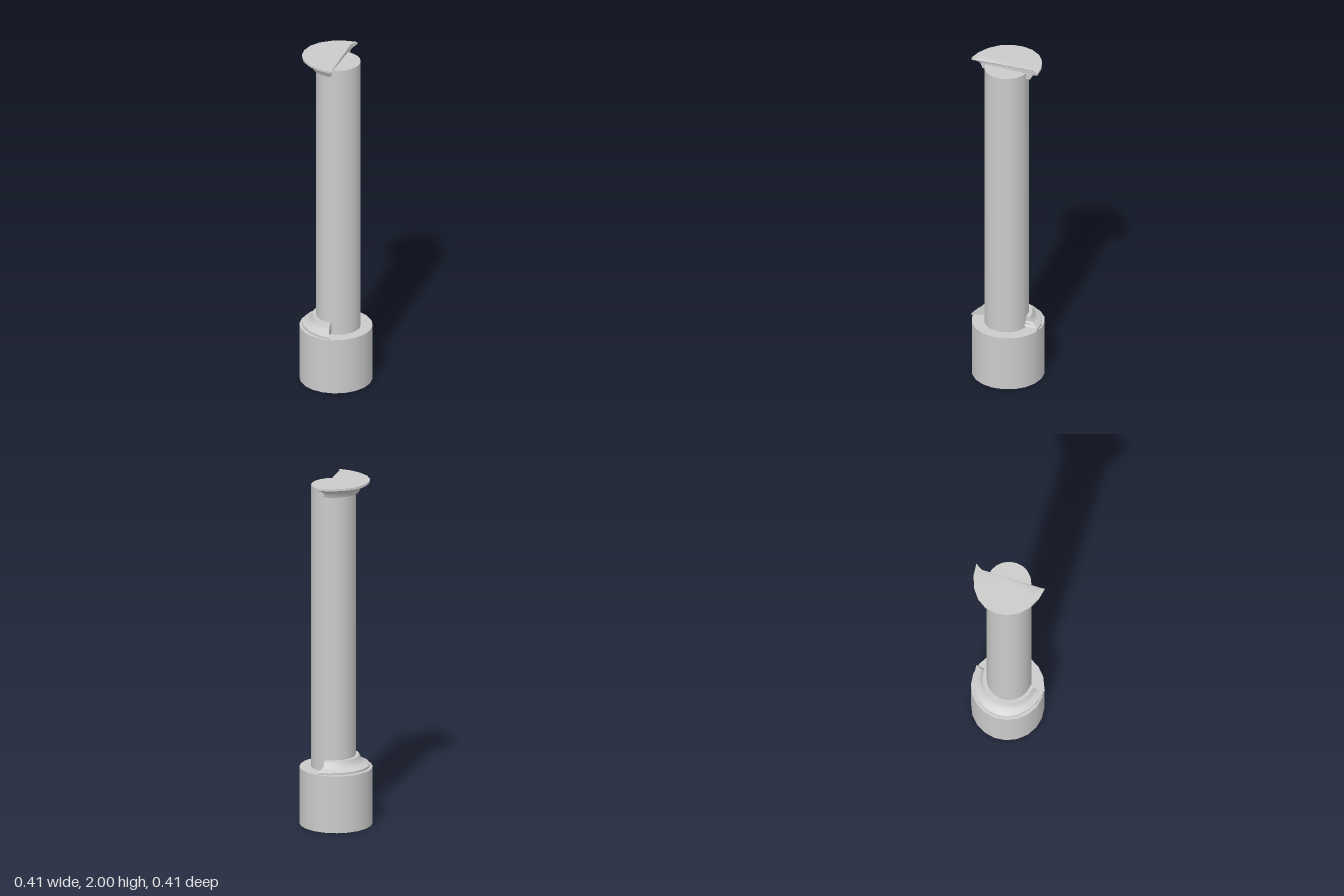
import * as THREE from 'three';
import { mergeGeometries, toCreasedNormals } from 'three/addons/utils/BufferGeometryUtils.js';

const material = new THREE.MeshStandardMaterial({ color: 0xcccccc });

function addMesh(group, name, geometry, x, y, z = 0) {
  const mesh = new THREE.Mesh(geometry, material);
  mesh.name = name;
  mesh.position.set(x, y, z);
  group.add(mesh);
  return mesh;
}

// Half-round flared moulding, widest at its top (y = 0), with a cut face toward +x
function mouldingGeometry() {
  const profile = [
    [0, -0.065], [0.148, -0.065], [0.155, -0.048], [0.165, -0.033],
    [0.182, -0.022], [0.198, -0.017], [0.205, -0.012], [0.205, 0], [0.165, 0], [0, 0],
  ].map(([r, y]) => new THREE.Vector2(r, y));

  // Curved half and the flat section that closes it
  const half = new THREE.LatheGeometry(profile, 10, Math.PI, Math.PI);
  const mirrored = profile.slice(1, -1).reverse().map(p => new THREE.Vector2(-p.x, p.y));
  const section = new THREE.ShapeGeometry(new THREE.Shape([...profile.slice(1, -1), ...mirrored]));
  section.rotateY(Math.PI / 2);
  const geometry = mergeGeometries([half, section]);

  // Sweep the outer rim forward into pointed tips at both ends
  const pos = geometry.attributes.position;
  for (let i = 0; i < pos.count; i++) {
    const x = pos.getX(i), z = pos.getZ(i), r = Math.hypot(x, z);
    const rim = Math.max(0, (r - 0.165) / 0.04);
    const side = r > 0 ? Math.abs(z) / r : 0;
    pos.setX(i, x * 1.04 + 0.023 * rim * side ** 4);
  }
  return toCreasedNormals(geometry, 0.6);
}

export function createModel() {
  const model = new THREE.Group();
  model.name = 'column';

  // Drum base and shaft
  addMesh(model, 'base', new THREE.CylinderGeometry(0.205, 0.205, 0.33, 20), 0, 0.165);
  addMesh(model, 'shaft', new THREE.CylinderGeometry(0.125, 0.125, 1.64, 20), 0.015, 1.15, 0.002);

  // Matching half mouldings, the lower one turned upside down
  const moulding = mouldingGeometry();
  addMesh(model, 'capital', moulding, 0.023, 2);
  addMesh(model, 'footMoulding', moulding, 0.023, 0.334).rotation.x = Math.PI;

  return model;
}
